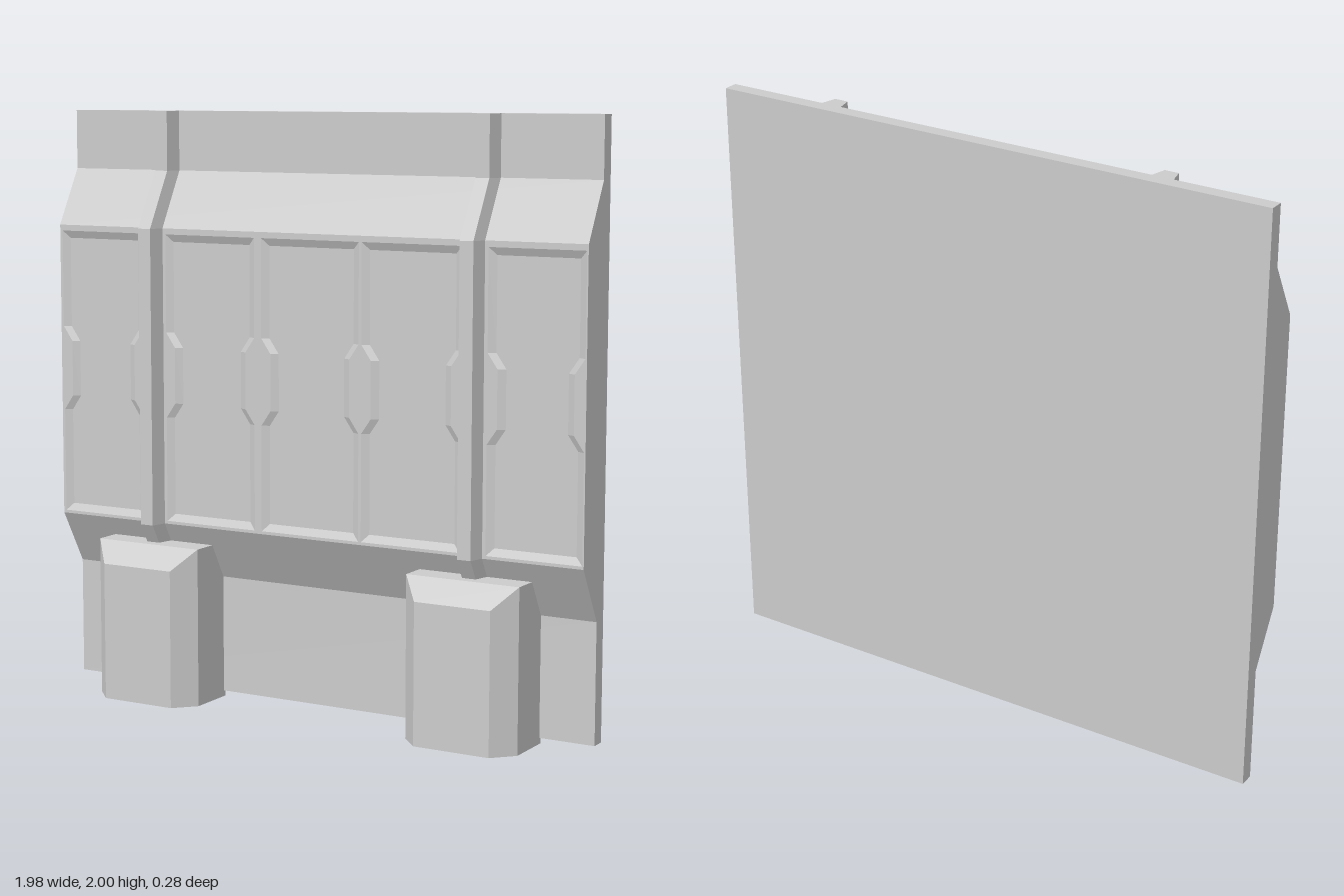
import * as THREE from 'three';
import { ConvexGeometry } from 'three/addons/geometries/ConvexGeometry.js';

const HALF_W = 0.99, BACK = -0.14, FACE = 0.015, DEPTH = 0.012, BEVEL = 0.025;
const material = new THREE.MeshStandardMaterial({ color: 0xcccccc, flatShading: true });

function addMesh(parent, name, geometry) {
  const mesh = new THREE.Mesh(geometry, material);
  mesh.name = name;
  parent.add(mesh);
  return mesh;
}

// Non-indexed geometry from quads, each given as four corners in counter-clockwise order
function quadGeometry(quads) {
  const pos = [];
  for (const [a, b, c, d] of quads) for (const p of [a, b, c, a, c, d]) pos.push(...p);
  const geo = new THREE.BufferGeometry();
  geo.setAttribute('position', new THREE.Float32BufferAttribute(pos, 3));
  geo.computeVertexNormals();
  return geo;
}

// Waisted panel outline, counter-clockwise from the front, shrunk by an inset
function panelOutline(x0, x1, inset) {
  const l = x0 + inset, r = x1 - inset, b = 0.615 + inset, t = 1.59 - inset, w = 0.035;
  return [[l, b], [r, b], [r, 0.97], [r - w, 1.02], [r - w, 1.21], [r, 1.26],
    [r, t], [l, t], [l, 1.26], [l + w, 1.21], [l + w, 1.02], [l, 0.97]];
}

const toPoints = (list) => list.map(([x, y]) => new THREE.Vector2(x, y));

// Side profile of the wall, stepped back where the panelled frame sits
function wallBody() {
  const floor = FACE - DEPTH;
  const profile = [[BACK, 0.02], [BACK, 2], [-0.09, 2], [-0.09, 1.8], [FACE, 1.61],
    [floor, 1.61], [floor, 0.605], [FACE, 0.605], [-0.09, 0.42], [-0.09, 0.02]];
  const shape = new THREE.Shape(toPoints(profile.map(([z, y]) => [-z, y])));
  const geo = new THREE.ExtrudeGeometry(shape, { depth: 2 * HALF_W, bevelEnabled: false });
  return geo.rotateY(Math.PI / 2).translate(-HALF_W, 0, 0);
}

// Plate with a hole for each panel
function frame(panels) {
  const shape = new THREE.Shape(toPoints(
    [[-HALF_W, 0.605], [HALF_W, 0.605], [HALF_W, 1.61], [-HALF_W, 1.61]]));
  for (const [x0, x1] of panels) {
    shape.holes.push(new THREE.Path(toPoints(panelOutline(x0, x1, 0).reverse())));
  }
  const geo = new THREE.ExtrudeGeometry(shape, { depth: DEPTH, bevelEnabled: false });
  return geo.translate(0, 0, FACE - DEPTH);
}

// Sloping rim from the frame down to the panel floor
function panelRim(x0, x1) {
  const outer = panelOutline(x0, x1, 0).map(([x, y]) => [x, y, FACE]);
  const inner = panelOutline(x0, x1, BEVEL).map(([x, y]) => [x, y, FACE - DEPTH]);
  return quadGeometry(outer.map((p, i) => {
    const j = (i + 1) % outer.length;
    return [p, outer[j], inner[j], inner[i]];
  }));
}

// Tapered rib that follows the wall profile
function rib() {
  const path = [[0.3, -0.09], [0.42, -0.09], [0.605, FACE], [1.61, FACE], [1.8, -0.09], [2, -0.09]];
  const rings = path.map(([y, z]) => [
    [-0.038, y, z - 0.005], [-0.024, y, z + 0.055], [0.024, y, z + 0.055], [0.038, y, z - 0.005]]);
  const quads = [rings[rings.length - 1], [...rings[0]].reverse()];
  for (let i = 0; i + 1 < rings.length; i++) {
    for (let k = 0; k < 4; k++) {
      const n = (k + 1) % 4;
      quads.push([rings[i][k], rings[i][n], rings[i + 1][n], rings[i + 1][k]]);
    }
  }
  return quadGeometry(quads);
}

// Block chamfered along its front sides and front top
function foot() {
  const points = [];
  for (const s of [-1, 1]) {
    for (const [x, z, top] of [[0.2, -0.1, 0.54], [0.2, 0.07, 0.54], [0.134, 0.14, 0.47]]) {
      points.push(new THREE.Vector3(s * x, 0, z), new THREE.Vector3(s * x, top, z));
    }
  }
  return new ConvexGeometry(points);
}

export function createModel() {
  const model = new THREE.Group();
  model.name = 'wallSection';
  const panels = [[-0.98, -0.65], [-0.555, -0.205], [-0.178, 0.19], [0.2, 0.56], [0.652, 0.985]];

  addMesh(model, 'wallBody', wallBody());
  addMesh(model, 'panelFrame', frame(panels));
  panels.forEach(([x0, x1], i) => addMesh(model, `panelRim${i + 1}`, panelRim(x0, x1)));

  // One rib and foot on each side
  for (const [side, s] of [['left', 1], ['right', -1]]) {
    addMesh(model, `${side}Rib`, rib()).position.x = s * 0.603;
    addMesh(model, `${side}Foot`, foot()).position.x = s * 0.598;
  }
  return model;
}
